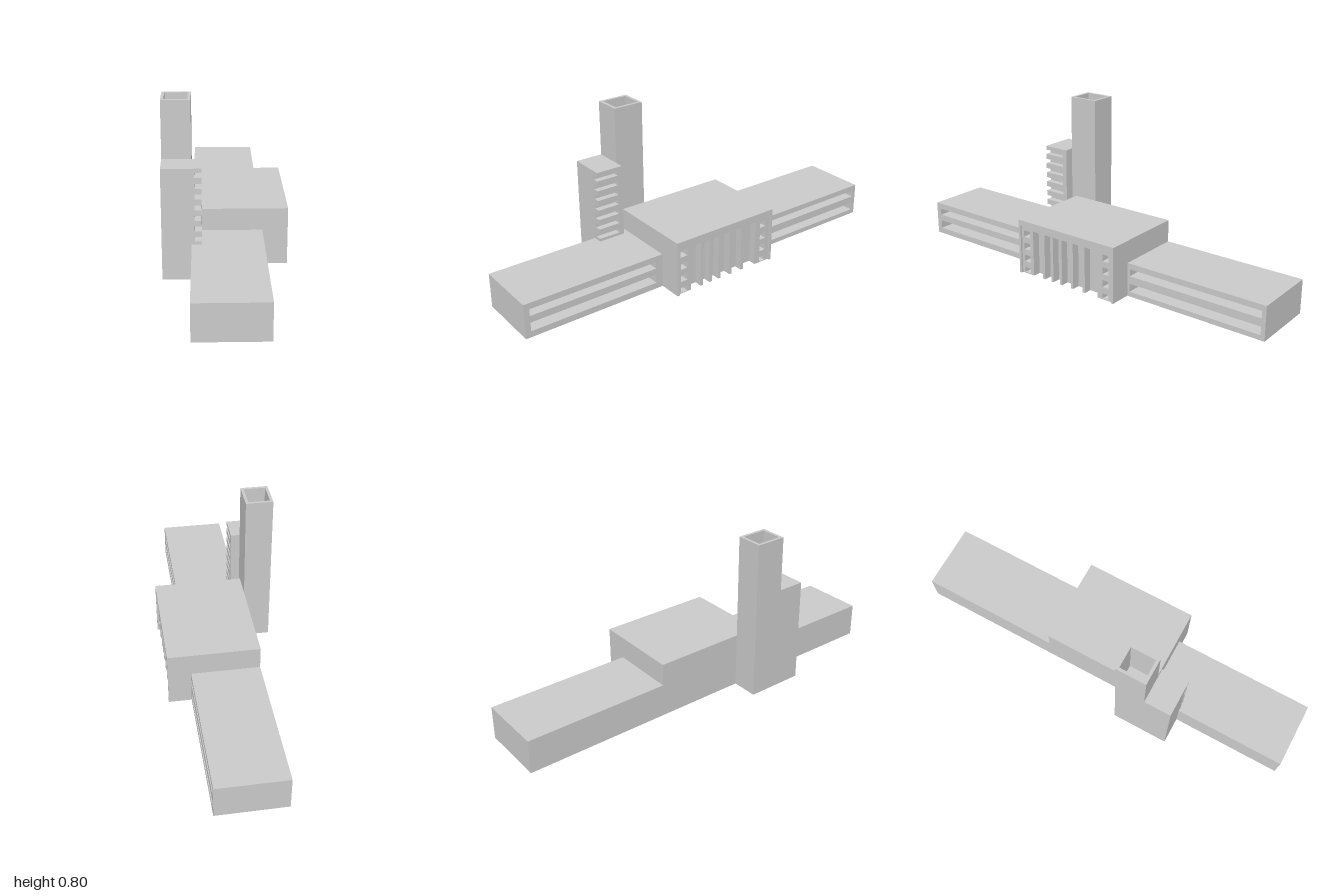
import * as THREE from 'three';

const material = new THREE.MeshStandardMaterial({ color: 0xcccccc, flatShading: true });

function add(parent, name, geometry) {
  const mesh = new THREE.Mesh(geometry, material);
  mesh.name = name;
  parent.add(mesh);
  return mesh;
}

// Box given by its limits on each axis
function block(parent, name, [x0, x1], [y0, y1], [z0, z1]) {
  const mesh = add(parent, name, new THREE.BoxGeometry(x1 - x0, y1 - y0, z1 - z0));
  mesh.position.set((x0 + x1) / 2, (y0 + y1) / 2, (z0 + z1) / 2);
  return mesh;
}

function rectangle(PathType, x0, x1, y0, y1) {
  const path = new PathType();
  path.moveTo(x0, y0);
  path.lineTo(x1, y0);
  path.lineTo(x1, y1);
  path.lineTo(x0, y1);
  path.closePath();
  return path;
}

// Wall facing +x with rectangular openings, each given as [z0, z1, y0, y1]
function facade(parent, name, [x0, x1], [y0, y1], [z0, z1], openings) {
  const shape = rectangle(THREE.Shape, -z1, -z0, y0, y1);
  for (const [a, b, c, d] of openings) shape.holes.push(rectangle(THREE.Path, -b, -a, c, d));
  const geometry = new THREE.ExtrudeGeometry(shape, { depth: x1 - x0, bevelEnabled: false });
  geometry.rotateY(Math.PI / 2);
  geometry.translate(x0, 0, 0);
  return add(parent, name, geometry);
}

function group(parent, name) {
  const g = new THREE.Group();
  g.name = name;
  parent.add(g);
  return g;
}

// Long low wing with two deep ribbon windows
function wing(parent, name, xFront, height, z, windowZ, rows) {
  const g = group(parent, name);
  const split = xFront - 0.12;
  block(g, 'wingBody', [-0.155, split], [0, height], z);
  facade(g, 'ribbonWindowWall', [split, xFront], [0, height], z,
    rows.map(([y0, y1]) => [...windowZ, y0, y1]));
}

export function createModel() {
  const model = new THREE.Group();
  model.name = 'building';

  wing(model, 'frontWing', 0.168, 0.17, [0.28, 1], [0.32, 0.973], [[0.03, 0.073], [0.106, 0.14]]);
  wing(model, 'rearWing', 0.175, 0.165, [-1, -0.29], [-0.98, -0.303], [[0.024, 0.064], [0.102, 0.137]]);

  // Central hall: body, projecting frame and recessed facade
  const hall = group(model, 'centralHall');
  const back = 0.235, front = 0.285, panel = [back, 0.275];
  block(hall, 'hallBody', [-0.155, back], [0, 0.275], [-0.29, 0.284]);
  block(hall, 'roofEdge', [back, front], [0.247, 0.275], [-0.29, 0.284]);
  block(hall, 'frontEndWall', [back, front], [0, 0.247], [0.272, 0.284]);
  block(hall, 'rearEndWall', [back, front], [0, 0.247], [-0.29, -0.278]);
  block(hall, 'lintel', panel, [0.23, 0.247], [-0.193, 0.2]);

  // Stair-side bays with small square windows
  const rows = [[0.004, 0.03], [0.062, 0.096], [0.126, 0.16], [0.19, 0.223]];
  for (const [name, z, w] of [
    ['frontBay', [0.2, 0.272], [0.22, 0.258]],
    ['rearBay', [-0.278, -0.193], [-0.257, -0.222]],
  ]) facade(hall, name, panel, [0, 0.247], z, rows.map((y) => [...w, ...y]));

  // Vertical fins across the entrance
  for (const z of [0.135, 0.082, 0.028, -0.04, -0.111]) {
    block(hall, 'fin', panel, [0, 0.23], [z - 0.007, z + 0.007]);
  }

  // Stair block with louvred corner
  const stair = group(model, 'stairBlock');
  const zs = [0.312, 0.447];
  block(stair, 'stairCore', [-0.288, -0.141], [0, 0.525], zs);
  block(stair, 'louvreJamb', [-0.141, -0.11], [0, 0.525], [0.312, 0.336]);
  let y = 0;
  for (let i = 0; i < 7; i++) {
    const slot = 0.184 + i * 0.0497;
    block(stair, 'louvre', [-0.141, -0.11], [y, slot], [0.336, 0.447]);
    y = slot + 0.023;
  }
  block(stair, 'louvreTop', [-0.141, -0.11], [y, 0.525], [0.336, 0.447]);

  // Square tower, hollow at the top
  const tower = group(model, 'tower');
  block(tower, 'towerShaft', [-0.288, -0.155], [0, 0.525], [0.16, 0.312]);
  const ring = rectangle(THREE.Shape, -0.288, -0.155, -0.312, -0.16);
  ring.holes.push(rectangle(THREE.Path, -0.274, -0.169, -0.297, -0.174));
  const walls = new THREE.ExtrudeGeometry(ring, { depth: 0.27, bevelEnabled: false });
  walls.rotateX(-Math.PI / 2);
  add(tower, 'towerWalls', walls).position.y = 0.525;

  return model;
}
